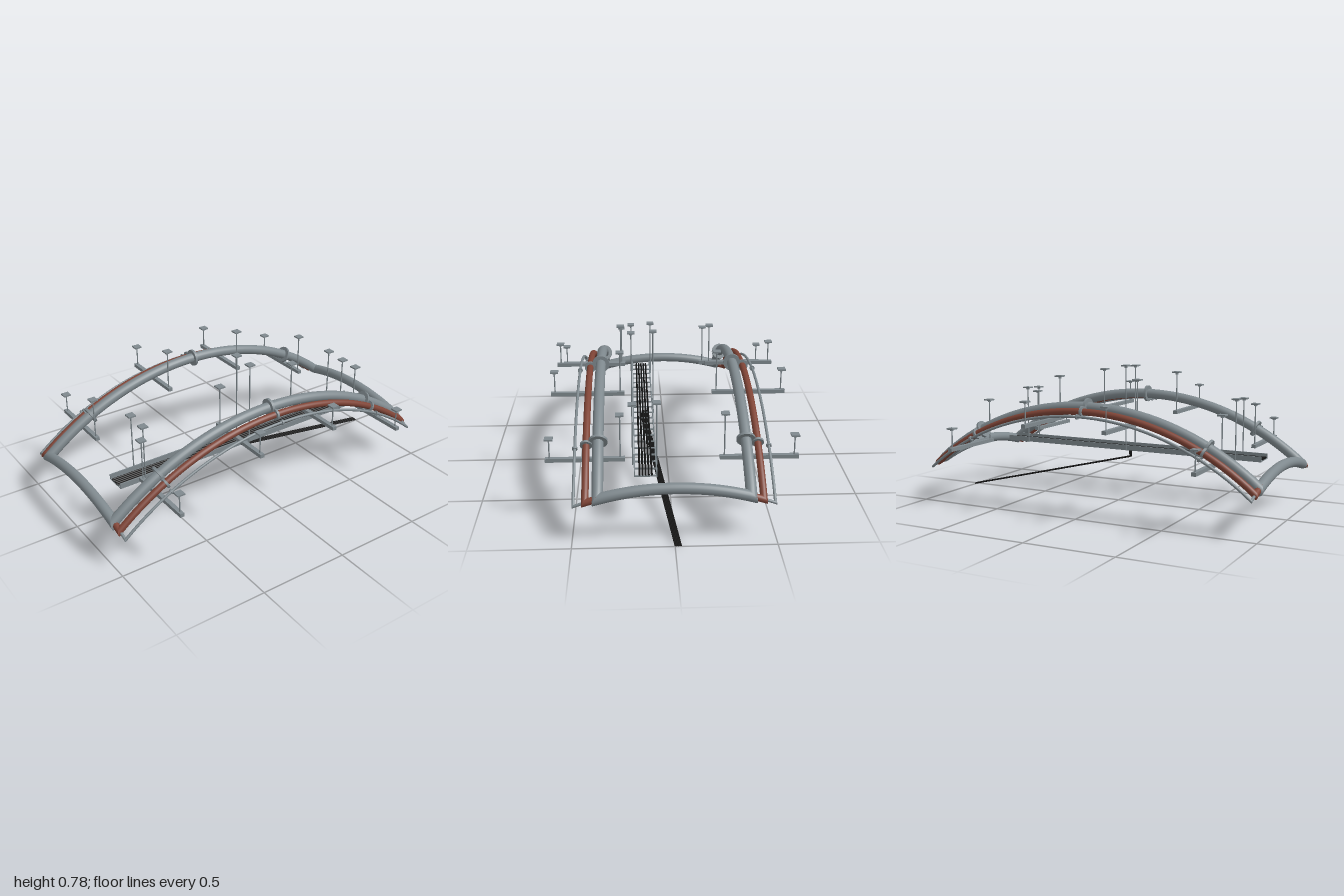
import * as THREE from 'three';

const V3 = (x, y, z) => new THREE.Vector3(x, y, z);
const steel = new THREE.MeshStandardMaterial({ color: 0x7f898e });
steel.name = 'grey steel';
const red = new THREE.MeshStandardMaterial({ color: 0x7f4436 });
red.name = 'rust red';
const black = new THREE.MeshStandardMaterial({ color: 0x141414, side: THREE.DoubleSide });
black.name = 'black cable';

const Z0 = 0.008;                 // middle of the arches
const HALF = 0.955, R = 1.494;    // half span and radius of the side arches
const END_R = 1.4, END_TOP = 0.288; // cross arches
const A_END = Math.asin(HALF / R);

function add(parent, name, geo, mat, x = 0, y = 0, z = 0) {
  const m = new THREE.Mesh(geo, mat);
  m.name = name;
  m.position.set(x, y, z);
  parent.add(m);
  return m;
}

// Round pipe along points; n0 and n1 are optional mitre plane normals at the ends
function pipe(points, r, side, n0, n1, seg = 20) {
  const pos = [], idx = [], last = points.length - 1;
  points.forEach((c, i) => {
    const a = points[Math.max(i - 1, 0)], b = points[Math.min(i + 1, last)];
    const d = b.clone().sub(a).normalize();
    const v = d.clone().cross(side).normalize(), u = v.clone().cross(d);
    const n = i === 0 ? n0 : i === last ? n1 : null;
    for (let j = 0; j < seg; j++) {
      const t = (j / seg) * Math.PI * 2;
      const o = u.clone().multiplyScalar(r * Math.cos(t)).addScaledVector(v, r * Math.sin(t));
      if (n) o.addScaledVector(d, -o.dot(n) / d.dot(n));
      pos.push(c.x + o.x, c.y + o.y, c.z + o.z);
      if (i < last) {
        const k = (j + 1) % seg, p = i * seg, q = p + seg;
        idx.push(p + j, p + k, q + k, p + j, q + k, q + j);
      }
    }
  });
  const g = new THREE.BufferGeometry();
  g.setAttribute('position', new THREE.Float32BufferAttribute(pos, 3));
  g.setIndex(idx);
  g.computeVertexNormals();
  return g;
}

const endY = x => END_TOP - END_R + Math.sqrt(END_R * END_R - x * x);

// Closed mitred loop: two long side arches joined by two shallow cross arches
function pipeLoop(root, name, x, r, flangeR, flangeT, mat) {
  const g = new THREE.Group();
  g.name = name;
  root.add(g);
  const top = endY(x) + R * (1 - Math.cos(A_END));
  const at = (sx, a) => V3(sx * x, top - R * (1 - Math.cos(a)), Z0 + R * Math.sin(a));
  const b = Math.asin(x / END_R);
  const N = 40;
  // mitre normal: side direction outwards plus cross direction inwards
  const mitre = (sx, sz) => V3(-sx * Math.cos(b), Math.sin(b) - Math.sin(A_END), sz * Math.cos(A_END));
  for (const s of [-1, 1]) {
    const side = [], cross = [];
    for (let i = 0; i <= N; i++) {
      const t = (i / N) * 2 - 1;
      side.push(at(s, t * A_END));
      cross.push(V3(END_R * Math.sin(t * b), endY(END_R * Math.sin(t * b)), Z0 + s * HALF));
    }
    add(g, 'sideArch', pipe(side, r, V3(1, 0, 0), mitre(s, -1), mitre(s, 1)), mat);
    add(g, 'crossArch', pipe(cross, r, V3(0, 0, 1), mitre(-1, s), mitre(1, s)), mat);
    // flanges at the crown and part way down each side
    for (const z of [-0.685, 0, 0.685]) {
      const a = Math.asin(z / R), p = at(s, a);
      const f = add(g, 'flange', new THREE.CylinderGeometry(flangeR, flangeR, flangeT, 24), steel, p.x, p.y, p.z);
      f.rotation.x = Math.PI / 2 + a;
    }
  }
}

// Hanger rod with a ceiling plate
function hanger(parent, x, z, y0, y1) {
  add(parent, 'hangerRod', new THREE.CylinderGeometry(0.0035, 0.0035, y1 - y0, 8), steel, x, (y0 + y1) / 2, z);
  add(parent, 'ceilingPlate', new THREE.BoxGeometry(0.042, 0.008, 0.042), steel, x, y1, z);
  add(parent, 'plateNut', new THREE.CylinderGeometry(0.01, 0.01, 0.008, 6), steel, x, y1 - 0.008, z);
}

export function createModel() {
  const root = new THREE.Group();
  root.name = 'hungPipework';

  pipeLoop(root, 'mainPipe', 0.37, 0.028, 0.048, 0.014, steel);
  pipeLoop(root, 'redPipe', 0.43, 0.018, 0.031, 0.012, red);
  pipeLoop(root, 'smallPipe', 0.487, 0.0075, 0.014, 0.01, steel);

  // trapeze supports under the side arches
  for (const s of [-1, 1]) {
    for (const z of [-0.717, -0.238, 0.238, 0.717]) {
      const outer = Math.abs(z) > 0.5;
      const t = new THREE.Group();
      t.name = 'trapezeSupport';
      root.add(t);
      const y = outer ? 0.335 : 0.498;
      add(t, 'supportBar', new THREE.BoxGeometry(0.397, 0.02, 0.024), steel, s * 0.436, y, Z0 + z);
      hanger(t, s * 0.26, Z0 + z, y, outer ? 0.572 : 0.73);
      hanger(t, s * 0.612, Z0 + z, y, outer ? 0.45 : 0.625);
    }
  }

  // ladder tray with cables
  const tray = new THREE.Group();
  tray.name = 'cableTray';
  root.add(tray);
  const TX = 0.136, LEN = 1.63;
  for (const s of [-1, 1]) {
    add(tray, 'trayRail', new THREE.BoxGeometry(0.006, 0.03, LEN), steel, TX + s * 0.055, 0.295, Z0);
    for (const z of [-0.67, 0, 0.67]) {
      hanger(tray, TX + 0.002 + s * 0.061, Z0 + z, 0.278, (z ? 0.611 : 0.768) - s * 0.004);
    }
  }
  for (let i = 0; i <= 20; i++) {
    add(tray, 'trayRung', new THREE.BoxGeometry(0.11, 0.006, 0.01), steel, TX, 0.284, Z0 + (i / 20 - 0.5) * (LEN - 0.01));
  }
  for (let i = -2; i <= 2; i++) {
    const c = add(tray, 'trayCable', new THREE.CylinderGeometry(0.005, 0.005, LEN, 8), black, TX + i * 0.015, 0.292, Z0);
    c.rotation.x = Math.PI / 2;
    // cables dropping out of the tray and running down to the ground
    const path = [
      V3(0.127 + i * 0.007, 0.292, 0.014),
      V3(0.127 + i * 0.007, 0.238, 0.014),
      V3(-0.015 + i * 0.007, 0.004, -0.999),
    ];
    add(root, 'dropCable', pipe(path, 0.004, V3(1, 0, 0), null, null, 8), black);
  }
  return root;
}
